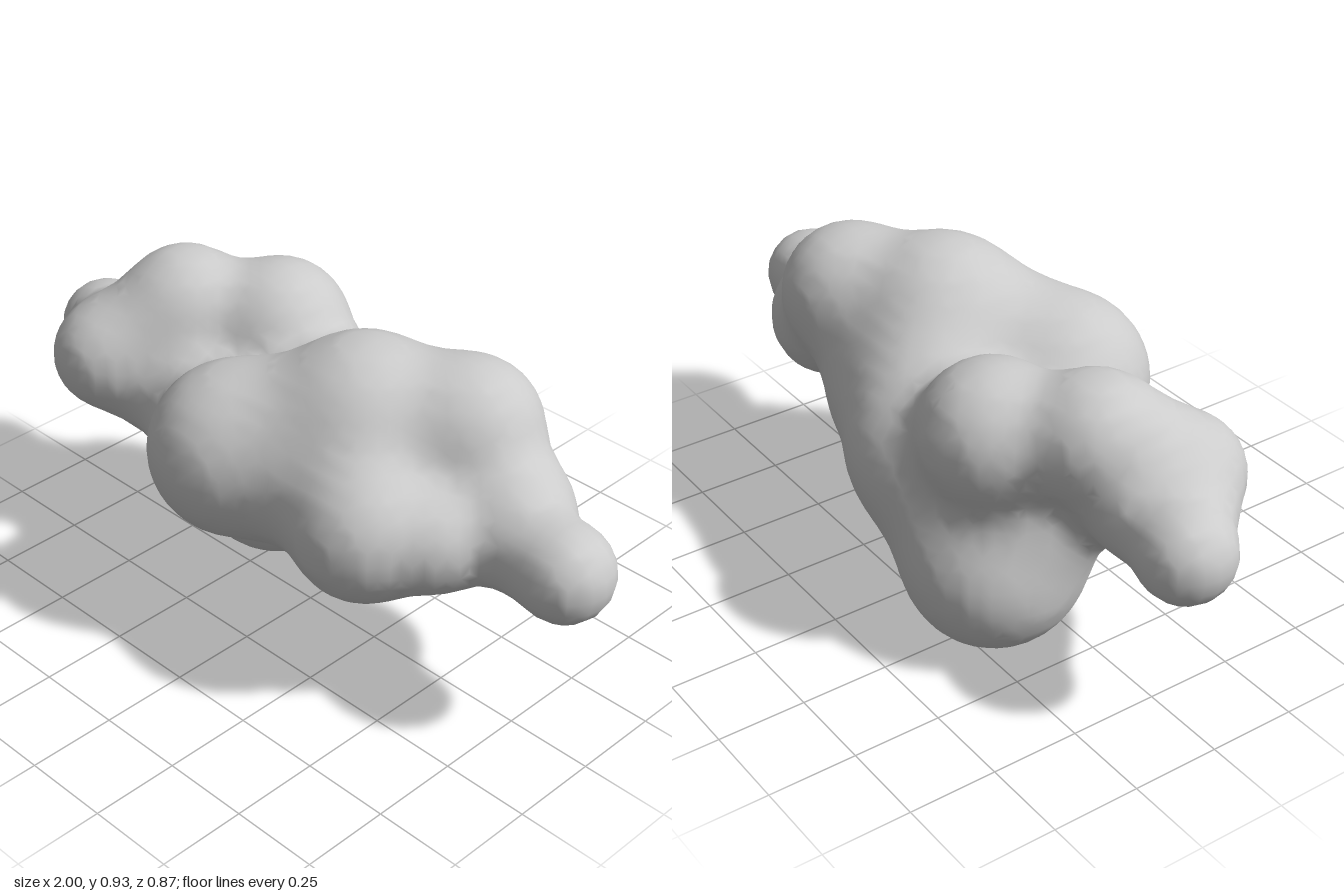
import * as THREE from 'three';

// Balls that melt together into the body: x, y, z, radius
const BALLS = [
  // left-hand tail chain (-x)
  [-0.87, 0.545, -0.02, 0.13], [-0.74, 0.55, 0.01, 0.115], [-0.77, 0.56, 0.08, 0.105],
  [-0.67, 0.57, -0.02, 0.12], [-0.73, 0.60, 0.06, 0.11], [-0.66, 0.60, 0.15, 0.155],
  [-0.60, 0.65, 0.05, 0.14], [-0.55, 0.72, -0.05, 0.175], [-0.33, 0.68, -0.21, 0.195],
  [-0.55, 0.52, 0.06, 0.14], [-0.43, 0.53, 0.02, 0.16],
  // hanging lobe and its root
  [-0.28, 0.252, -0.17, 0.248], [-0.25, 0.26, -0.07, 0.16], [-0.14, 0.37, -0.14, 0.18],
  [-0.25, 0.37, 0.02, 0.16], [-0.38, 0.40, -0.08, 0.145], [-0.29, 0.46, 0.09, 0.17],
  [-0.30, 0.46, -0.15, 0.15],
  // main body
  [-0.05, 0.47, -0.20, 0.235], [-0.08, 0.575, 0.20, 0.238], [0.20, 0.70, 0.0, 0.235],
  [0.09, 0.51, -0.01, 0.225], [0.07, 0.62, 0.11, 0.18], [0.15, 0.56, 0.14, 0.17],
  [0.08, 0.58, -0.12, 0.19], [0.20, 0.50, -0.13, 0.20], [0.30, 0.60, -0.10, 0.18],
  [0.36, 0.50, 0.0, 0.16], [0.37, 0.53, 0.17, 0.20], [0.44, 0.72, -0.145, 0.19],
  // right-hand tip (+x)
  [0.55, 0.53, 0.08, 0.13], [0.60, 0.55, -0.125, 0.16], [0.66, 0.555, -0.07, 0.14],
  [0.74, 0.55, -0.03, 0.115], [0.87, 0.545, -0.02, 0.13],
];
const SHARPNESS = 2.2;
const CELL = 0.04;
const MIN = [-1.2, -0.2, -0.64];
const COUNT = [60, 34, 32];

// Log of the summed soft-ball field; zero on the skin. Optionally returns its gradient.
function field(p, grad) {
  let sum = 0;
  const g = [0, 0, 0];
  for (const [x, y, z, r] of BALLS) {
    const d = [p[0] - x, p[1] - y, p[2] - z];
    const w = Math.exp(-SHARPNESS * ((d[0] ** 2 + d[1] ** 2 + d[2] ** 2) / (r * r) - 1));
    sum += w;
    for (let a = 0; a < 3; a++) g[a] -= 2 * SHARPNESS * w * d[a] / (r * r);
  }
  if (grad) for (let a = 0; a < 3; a++) grad[a] = g[a] / sum;
  return Math.log(sum);
}

// Skin of the field as a smooth quad net: one vertex per crossed cell
function blobGeometry() {
  const at = (c) => c.map((v, a) => MIN[a] + v * CELL);
  const index = (c) => c[0] + COUNT[0] * (c[1] + COUNT[1] * c[2]);
  const values = new Float64Array(COUNT[0] * COUNT[1] * COUNT[2]);
  const eachPoint = (visit) => {
    for (let k = 0; k < COUNT[2]; k++)
      for (let j = 0; j < COUNT[1]; j++)
        for (let i = 0; i < COUNT[0]; i++) visit([i, j, k]);
  };
  eachPoint((c) => { values[index(c)] = field(at(c)); });

  const positions = [], faces = [], made = new Map();
  const corners = [0, 1, 2, 3, 4, 5, 6, 7].map((n) => [n & 1, (n >> 1) & 1, n >> 2]);

  const vertex = (cell) => {
    const key = index(cell);
    if (made.has(key)) return made.get(key);
    // average the crossings on the cell's edges
    const p = [0, 0, 0];
    let hits = 0;
    for (const o of corners) for (let a = 0; a < 3; a++) {
      if (o[a]) continue;
      const c0 = cell.map((v, i) => v + o[i]);
      const c1 = c0.slice();
      c1[a]++;
      const v0 = values[index(c0)], v1 = values[index(c1)];
      if ((v0 > 0) === (v1 > 0)) continue;
      const q = at(c0);
      q[a] += CELL * v0 / (v0 - v1);
      for (let i = 0; i < 3; i++) p[i] += q[i];
      hits++;
    }
    for (let i = 0; i < 3; i++) p[i] /= hits;
    // slide the vertex onto the skin
    for (let step = 0; step < 3; step++) {
      const g = [0, 0, 0];
      const f = field(p, g);
      const len2 = g[0] ** 2 + g[1] ** 2 + g[2] ** 2 + 1e-6;
      const limit = 0.02 / Math.sqrt(len2);
      const move = THREE.MathUtils.clamp(f / len2, -limit, limit);
      for (let i = 0; i < 3; i++) p[i] -= move * g[i];
    }
    positions.push(...p);
    made.set(key, positions.length / 3 - 1);
    return positions.length / 3 - 1;
  };

  // one quad around every grid edge that crosses the skin
  eachPoint((c) => {
    if (c.some((v, i) => v < 1 || v >= COUNT[i] - 2)) return;
    for (let a = 0; a < 3; a++) {
      const next = c.slice();
      next[a]++;
      const inside = values[index(c)] > 0;
      if (inside === values[index(next)] > 0) continue;
      const b = (a + 1) % 3, d = (a + 2) % 3;
      const quad = [[0, 0], [1, 0], [1, 1], [0, 1]].map(([s, t]) => {
        const cell = c.slice();
        cell[b] -= s;
        cell[d] -= t;
        return vertex(cell);
      });
      if (!inside) quad.reverse();
      faces.push(quad[0], quad[1], quad[2], quad[0], quad[2], quad[3]);
    }
  });

  const geometry = new THREE.BufferGeometry();
  geometry.setAttribute('position', new THREE.Float32BufferAttribute(positions, 3));
  geometry.setIndex(faces);
  geometry.computeVertexNormals();
  return geometry;
}

export function createModel() {
  const group = new THREE.Group();
  group.name = 'blobModel';
  const body = new THREE.Mesh(blobGeometry(), new THREE.MeshStandardMaterial({ color: 0xcccccc }));
  body.name = 'lobedBody';
  group.add(body);
  return group;
}
